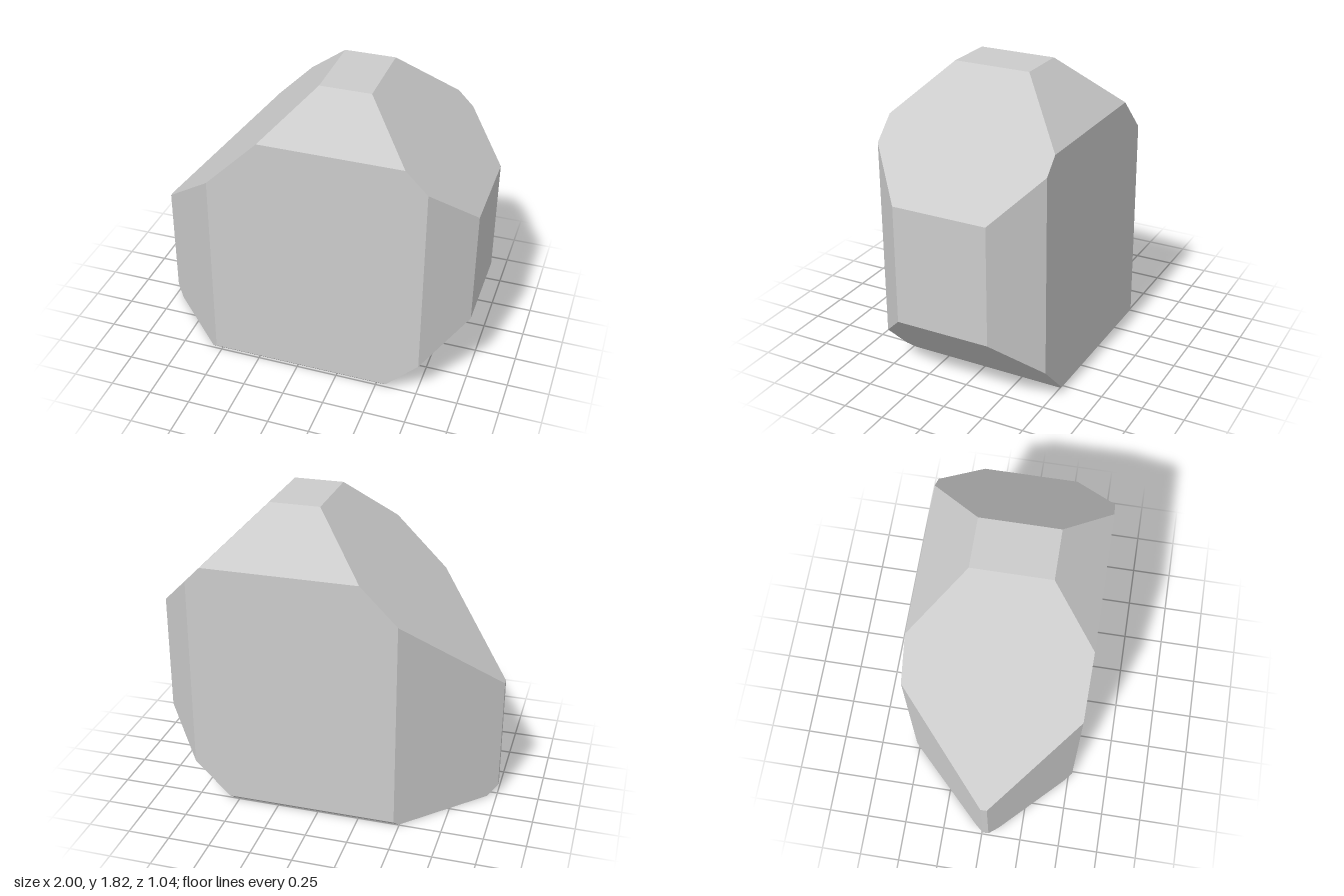
import * as THREE from 'three';

// Bounding planes of the cut stone: normal direction, then limit of dot(normal, point)
const CUTS = [
  // flat sides, top and base
  [1, 0, 0, 1], [-1, 0, 0, 1], [0, 1, 0, 1.82], [0, -1, 0, 0], [0, 0, 1, 0.522], [0, 0, -1, 0.522],
  // bevels seen from the front
  [1, 1, 0, 2.18], [-1, 1, 0, 1.76], [1, -1, 0, 0.527], [-1, -1, 0, 0.943],
  // bevels seen from above
  [1, 0, 1, 1.282], [1, 0, -1, 1.287], [-1, 0, 1, 1.045], [-1, 0, -1, 0.993],
  // bevels seen from the side
  [0, 1, 1, 2.072], [0, 1, -1, 2.03], [0, -1, 1, 0.481], [0, -1, -1, 0.495],
];

// Keep the part of a polygon that lies behind a plane
function clip(polygon, plane) {
  const kept = [];
  polygon.forEach((a, i) => {
    const b = polygon[(i + 1) % polygon.length];
    const da = plane.distanceToPoint(a), db = plane.distanceToPoint(b);
    if (da <= 0) kept.push(a);
    if ((da < 0 && db > 0) || (da > 0 && db < 0)) kept.push(a.clone().lerp(b, da / (da - db)));
  });
  return kept;
}

// Large counter-clockwise square lying on a plane
function squareOn(plane) {
  const turn = new THREE.Quaternion().setFromUnitVectors(new THREE.Vector3(0, 0, 1), plane.normal);
  const centre = plane.coplanarPoint(new THREE.Vector3());
  return [[-1, -1], [1, -1], [1, 1], [-1, 1]].map(([x, y]) =>
    new THREE.Vector3(x * 8, y * 8, 0).applyQuaternion(turn).add(centre));
}

export function createModel() {
  const planes = CUTS.map(([x, y, z, limit]) => new THREE.Plane(new THREE.Vector3(x, y, z), -limit).normalize());

  // Each facet is its plane's square trimmed by all the other planes
  const points = [];
  for (const plane of planes) {
    let facet = squareOn(plane);
    for (const other of planes) if (other !== plane) facet = clip(facet, other);
    for (let i = 1; i < facet.length - 1; i++) points.push(facet[0], facet[i], facet[i + 1]);
  }

  const geometry = new THREE.BufferGeometry().setFromPoints(points);
  geometry.computeVertexNormals();
  const stone = new THREE.Mesh(geometry, new THREE.MeshStandardMaterial({ color: 0xcccccc, flatShading: true }));
  stone.name = 'facetedStone';

  const group = new THREE.Group();
  group.name = 'stone';
  group.add(stone);
  return group;
}
